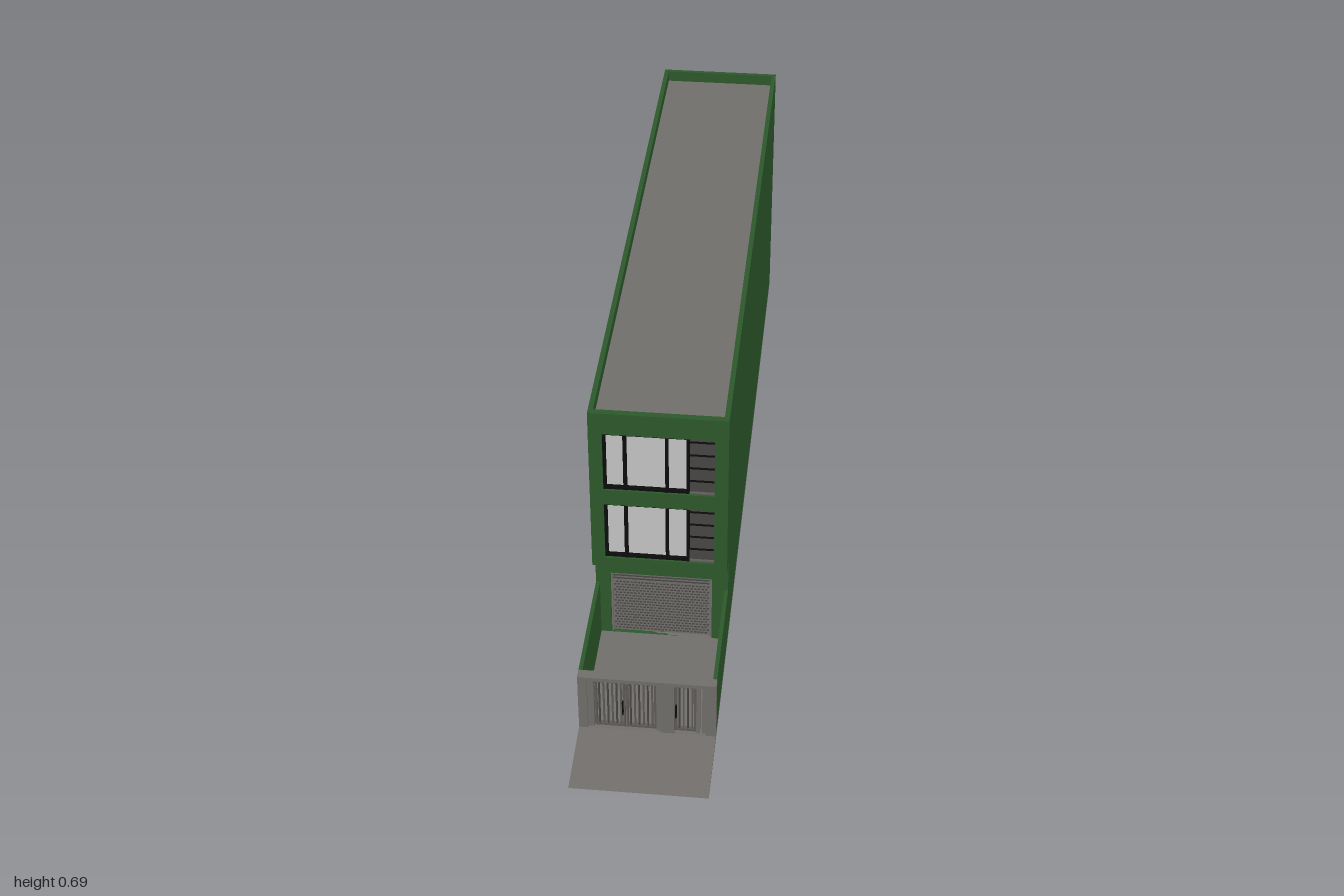
import * as THREE from 'three';

const mat = (name, color) => Object.assign(new THREE.MeshStandardMaterial({ color }), { name });

export function createModel() {
  const green = mat('green paint', 0x2d5a2c);
  const grey = mat('concrete grey', 0x73706d);
  const steel = mat('gate steel', 0x5f5c59);
  const dark = mat('dark grey', 0x4a4846);
  const black = mat('black frame', 0x0b0c0b);
  const glass = mat('pale glass', 0xc9c9c9);

  const root = new THREE.Group();
  root.name = 'townhouse';

  // Box given by its min and max on each axis
  const box = (parent, name, m, x0, x1, y0, y1, z0, z1) => {
    const mesh = new THREE.Mesh(new THREE.BoxGeometry(x1 - x0, y1 - y0, z1 - z0), m);
    mesh.position.set((x0 + x1) / 2, (y0 + y1) / 2, (z0 + z1) / 2);
    mesh.name = name;
    parent.add(mesh);
    return mesh;
  };
  const group = (name) => {
    const g = new THREE.Group();
    g.name = name;
    root.add(g);
    return g;
  };
  const rect = (path, x0, x1, y0, y1) => {
    path.moveTo(x0, y0);
    path.lineTo(x1, y0);
    path.lineTo(x1, y1);
    path.lineTo(x0, y1);
    path.closePath();
    return path;
  };
  // Upright wall facing +z with rectangular openings
  const wall = (name, m, outline, holes, z0, z1) => {
    const shape = rect(new THREE.Shape(), ...outline);
    holes.forEach((h) => shape.holes.push(rect(new THREE.Path(), ...h)));
    const mesh = new THREE.Mesh(
      new THREE.ExtrudeGeometry(shape, { depth: z1 - z0, bevelEnabled: false }), m);
    mesh.position.z = z0;
    mesh.name = name;
    root.add(mesh);
  };

  const W = 0.152, BASE = 0.012, TOP = 0.685, ROOF = 0.655, FLOOR = 0.255;

  // Ground slab with the sloping drive in front
  const profile = new THREE.Shape();
  [[-1, 0], [1, 0], [0.83, BASE], [-1, BASE]].forEach(([z, y], i) =>
    i ? profile.lineTo(-z, y) : profile.moveTo(-z, y));
  const slab = new THREE.Mesh(
    new THREE.ExtrudeGeometry(profile, { depth: 2 * W, bevelEnabled: false }), grey);
  slab.rotation.y = Math.PI / 2;
  slab.position.x = -W;
  slab.name = 'slabAndDrive';
  root.add(slab);

  // Main volumes
  box(root, 'groundFloor', green, -W, W, BASE, FLOOR, -1, 0.505);
  box(root, 'upperFloors', green, -W, W, FLOOR, ROOF, -1, 0.55);
  box(root, 'roofDeck', grey, -W + 0.011, W - 0.011, ROOF, ROOF + 0.002, -0.989, 0.55);

  // Parapets
  for (const s of [-1, 1]) {
    const a = s * W, b = s * (W - 0.011);
    box(root, 'sideParapet', green, Math.min(a, b), Math.max(a, b), ROOF, TOP, -1, 0.55);
  }
  box(root, 'backParapet', green, -W + 0.011, W - 0.011, ROOF, TOP, -1, -0.989);

  // Facades
  const windowRows = [[0.281, 0.435], [0.476, 0.63]];
  wall('upperFacade', green, [-W, W, FLOOR, TOP],
    windowRows.map(([a, b]) => [-0.122, 0.122, a, b]), 0.55, 0.565);
  wall('groundFacade', green, [-W, W, BASE, FLOOR], [[-0.118, 0.115, BASE, 0.195]], 0.505, 0.52);

  // Windows with a louvred panel on the left
  for (const [y0, y1] of windowRows) {
    const g = group('window');
    box(g, 'pane', glass, -0.122, 0.066, y0, y1, 0.55, 0.553);
    for (const [a, b] of [[-0.122, -0.115], [-0.078, -0.07], [0.014, 0.021], [0.06, 0.067]])
      box(g, 'mullion', black, a, b, y0, y1, 0.551, 0.561);
    for (const y of [y0, y1 - 0.005])
      box(g, 'rail', black, -0.122, 0.066, y, y + (y === y0 ? 0.008 : 0.005), 0.551, 0.56);
    box(g, 'louvrePanel', dark, 0.067, 0.122, y0, y1, 0.55, 0.553);
    for (let i = 0; i < 4; i++)
      box(g, 'louvreGap', black, 0.067, 0.122, y0 + 0.03 + i * 0.0355, y0 + 0.034 + i * 0.0355, 0.553, 0.555);
    box(g, 'louvreSill', steel, 0.067, 0.122, y0, y0 + 0.002, 0.553, 0.56);
  }

  // Roller shutter: frame, slotted top and rows of perforations
  const shutter = group('rollerShutter');
  box(shutter, 'curtain', grey, -0.118, 0.115, BASE, 0.195, 0.505, 0.51);
  for (const [a, b] of [[-0.118, -0.114], [0.109, 0.115]])
    box(shutter, 'guide', grey, a, b, BASE, 0.195, 0.51, 0.516);
  box(shutter, 'headRail', grey, -0.114, 0.109, 0.191, 0.195, 0.51, 0.516);
  for (let i = 0; i < 3; i++)
    box(shutter, 'slot', dark, -0.114, 0.109, 0.171 + i * 0.0085, 0.1745 + i * 0.0085, 0.51, 0.511);
  const rows = 18, cols = 26;
  const holes = new THREE.InstancedMesh(new THREE.BoxGeometry(0.0055, 0.0035, 0.001), dark, rows * cols);
  holes.name = 'perforations';
  const m4 = new THREE.Matrix4();
  for (let r = 0; r < rows; r++)
    for (let c = 0; c < cols; c++)
      holes.setMatrixAt(r * cols + c, m4.makeTranslation(
        -0.109 + c * 0.0084 + (r % 2) * 0.0042, 0.019 + r * 0.0084, 0.5105));
  shutter.add(holes);

  // Yard walls and street wall
  for (const s of [-1, 1])
    box(root, 'yardWall', green, s < 0 ? -W : W - 0.009, s < 0 ? -W + 0.009 : W, BASE, 0.165, 0.52, 0.807);
  wall('streetWall', grey, [-W, W, BASE, 0.165],
    [[-0.132, 0.029, BASE, 0.155], [0.06, 0.13, BASE, 0.155]], 0.807, 0.83);

  // Gate leaf: steel frame, slim bars and cross rails
  const leaf = (parent, x0, x1) => {
    const y0 = BASE + 0.002, y1 = 0.149, z0 = 0.813, z1 = 0.821;
    box(parent, 'stile', steel, x0, x0 + 0.005, y0, y1, z0, z1);
    box(parent, 'stile', steel, x1 - 0.005, x1, y0, y1, z0, z1);
    box(parent, 'topRail', steel, x0, x1, y1 - 0.004, y1, z0, z1);
    box(parent, 'bottomRail', steel, x0, x1, y0, y0 + 0.006, z0, z1);
    const n = Math.round((x1 - x0) / 0.0095);
    for (let i = 1; i < n; i++) {
      const x = x0 + ((x1 - x0) * i) / n;
      box(parent, 'bar', i % 2 ? dark : steel, x - 0.0018, x + 0.0018, y0, y1, 0.814, 0.82);
    }
  };
  const handle = (parent, x) => box(parent, 'handle', black, x - 0.0015, x + 0.0015, 0.058, 0.094, 0.821, 0.829);
  const post = (parent, x0, x1) => box(parent, 'post', grey, x0, x1, BASE, 0.149, 0.81, 0.824);

  const carGate = group('doubleGate');
  post(carGate, -0.132, -0.118);
  post(carGate, 0.02, 0.029);
  leaf(carGate, -0.116, -0.049);
  leaf(carGate, -0.047, 0.02);
  handle(carGate, -0.054);

  const sideGate = group('sideGate');
  leaf(sideGate, 0.061, 0.108);
  post(sideGate, 0.108, 0.116);
  post(sideGate, 0.121, 0.13);
  handle(sideGate, 0.0635);

  return root;
}
